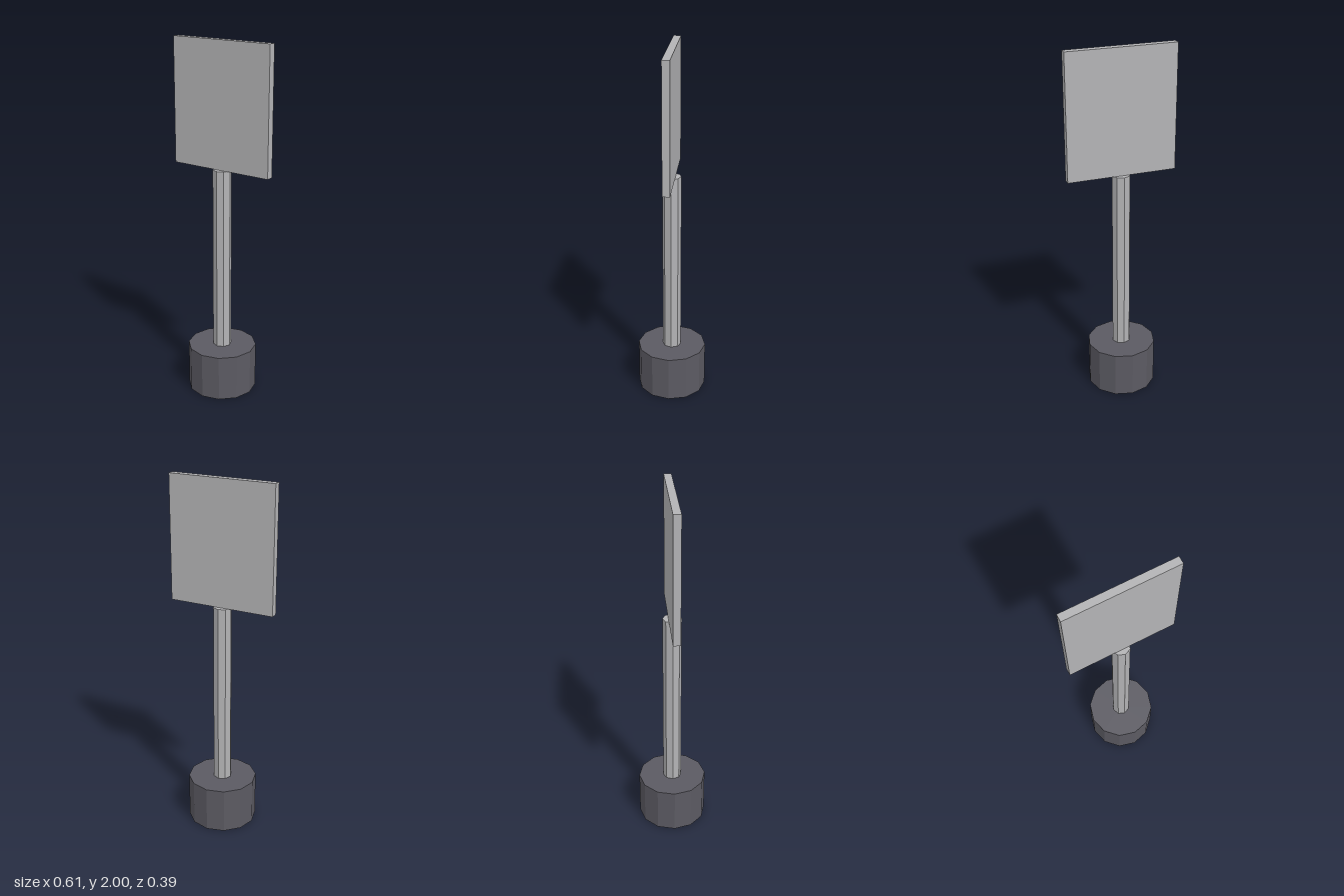
import * as THREE from 'three';

export function createModel() {
  const group = new THREE.Group();
  const lightGrey = new THREE.MeshStandardMaterial({ color: 0xb3b3b5, flatShading: true });
  lightGrey.name = 'light grey metal';
  const darkGrey = new THREE.MeshStandardMaterial({ color: 0x5b5a62, flatShading: true });
  darkGrey.name = 'dark grey base';

  // Adds a part standing on the given height
  const add = (name, geometry, material, bottom, height) => {
    const mesh = new THREE.Mesh(geometry, material);
    mesh.name = name;
    mesh.position.y = bottom + height / 2;
    group.add(mesh);
  };

  const baseHeight = 0.262, panelBottom = 1.306;
  const poleHeight = panelBottom - baseHeight, panelHeight = 2 - panelBottom;

  // Twelve-sided foot, eight-sided pole and square sign panel
  add('base', new THREE.CylinderGeometry(0.195, 0.195, baseHeight, 12), darkGrey, 0, baseHeight);
  add('pole', new THREE.CylinderGeometry(0.052, 0.052, poleHeight, 8), lightGrey, baseHeight, poleHeight);
  add('signPanel', new THREE.BoxGeometry(0.61, panelHeight, 0.041), lightGrey, panelBottom, panelHeight);

  return group;
}
